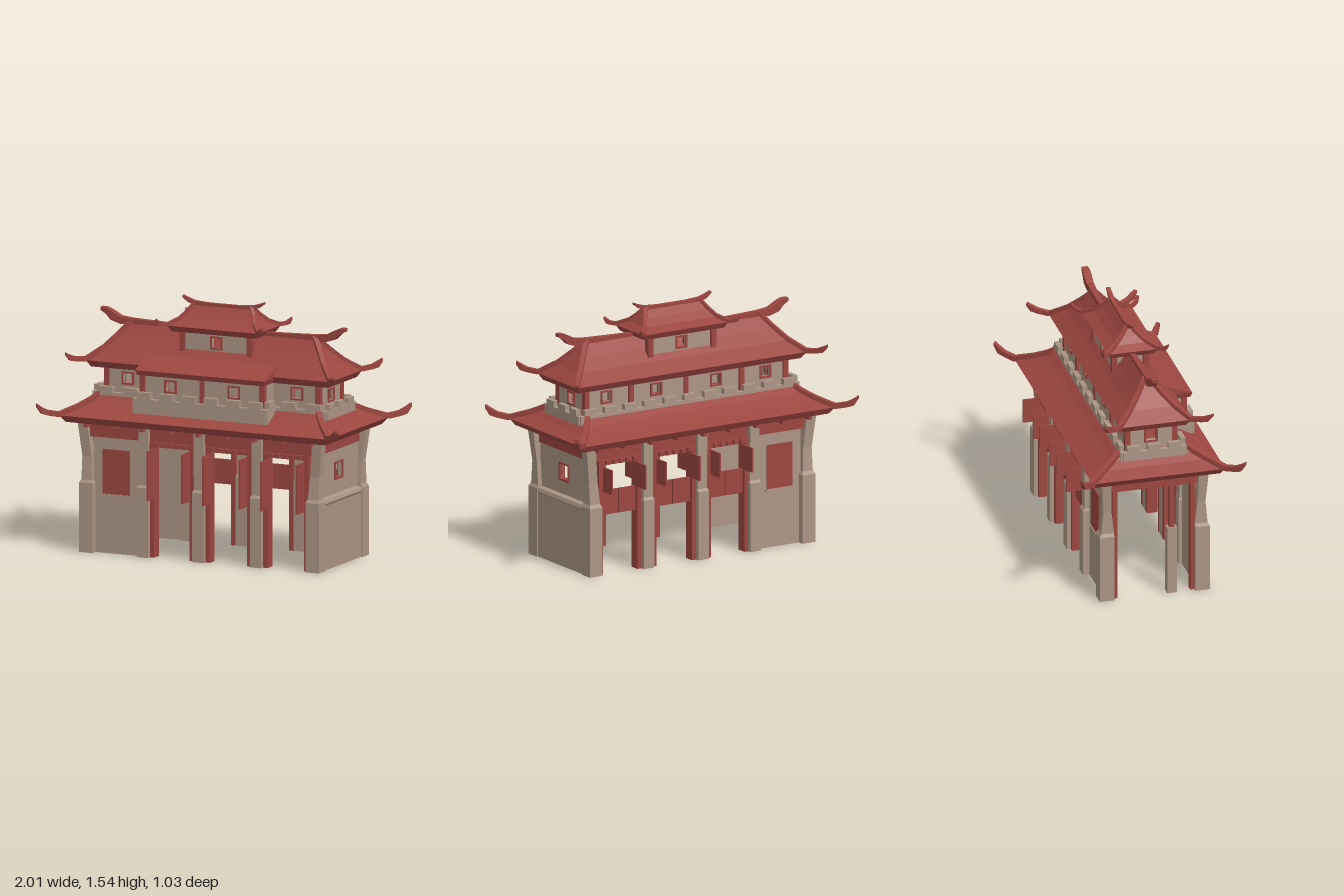
import * as THREE from 'three';

const red = new THREE.MeshStandardMaterial({ color: 0x9c4640 });
red.name = 'red lacquer';
const stone = new THREE.MeshStandardMaterial({ color: 0xab9584 });
stone.name = 'tan stone';

// Solid lofted through rings of four corners, with closed ends
function loft(rings) {
  const p = [];
  const quad = (a, b, c, d) => p.push(...a, ...b, ...c, ...a, ...c, ...d);
  const first = rings[0], last = rings[rings.length - 1];
  quad(first[3], first[2], first[1], first[0]);
  for (let r = 0; r < rings.length - 1; r++) {
    for (let i = 0; i < 4; i++) {
      const j = (i + 1) % 4;
      quad(rings[r][i], rings[r][j], rings[r + 1][j], rings[r + 1][i]);
    }
  }
  quad(...last);
  const g = new THREE.BufferGeometry();
  g.setAttribute('position', new THREE.Float32BufferAttribute(p, 3));
  g.computeVertexNormals();
  return g;
}

// Horizontal rectangle given by its limits
const rect = (x0, x1, z0, z1, y) => [[x0, y, z1], [x1, y, z1], [x1, y, z0], [x0, y, z0]];

// Square-section bar through points [x, y, z, halfWidth, halfHeight]
function bar(points) {
  const a = points[0], b = points[points.length - 1];
  const t = new THREE.Vector3(b[0] - a[0], 0, b[2] - a[2]).normalize();
  const s = new THREE.Vector3(0, 1, 0).cross(t);
  return loft(points.map(([x, y, z, w, h]) =>
    [[-1, -1], [1, -1], [1, 1], [-1, 1]].map(([i, j]) => [x + s.x * w * i, y + h * j, z + s.z * w * i])));
}

// Upright panel in the XY plane with rectangular holes [x0, x1, y0, y1]
function panel(x0, x1, y0, y1, depth, holes = []) {
  const path = (P, a, b, c, d) => {
    const q = new P();
    q.moveTo(a, c); q.lineTo(b, c); q.lineTo(b, d); q.lineTo(a, d); q.closePath();
    return q;
  };
  const shape = path(THREE.Shape, x0, x1, y0, y1);
  holes.forEach(h => shape.holes.push(path(THREE.Path, ...h)));
  return new THREE.ExtrudeGeometry(shape, { depth, bevelEnabled: false }).translate(0, 0, -depth / 2);
}

export function createModel() {
  const model = new THREE.Group();
  const add = (name, geo, mat, parent = model) => {
    const m = new THREE.Mesh(geo, mat);
    m.name = name;
    parent.add(m);
    return m;
  };
  const box = (name, mat, x0, x1, y0, y1, z0, z1) =>
    add(name, new THREE.BoxGeometry(x1 - x0, y1 - y0, z1 - z0)
      .translate((x0 + x1) / 2, (y0 + y1) / 2, (z0 + z1) / 2), mat);

  // Wall with framed square windows, facing z or x
  function windowWall(name, half, y0, y1, at, side, windows, size, wy) {
    const turn = g => side === 'z' ? g.translate(0, 0, at) : g.rotateY(Math.PI / 2).translate(at, 0, 0);
    const hole = (c, s) => [c - s, c + s, wy - s, wy + s];
    add(name, turn(panel(-half, half, y0, y1, 0.025, windows.map(c => hole(c, size)))), stone);
    for (const c of windows) {
      add('windowFrame', turn(panel(...hole(c, size + 0.01), 0.04, [hole(c, size)])), red);
    }
  }

  // Hipped roof from levels [halfX, halfZ, y], with corner ribs and ridge
  function roof(name, levels, tip, rib, ridge) {
    const g = new THREE.Group();
    g.name = name;
    model.add(g);
    add('roofSlopes', loft(levels.map(([x, z, y]) => rect(-x, x, -z, z, y))), red, g);
    const eave = levels[1];
    const mid = (k, i) => eave[i] + (tip[i] - eave[i]) * k;
    for (const sx of [-1, 1]) for (const sz of [-1, 1]) {
      const pts = levels.slice(1).reverse().map(([x, z, y]) => [sx * x, y + 0.008, sz * z, rib, rib]);
      pts.push([sx * mid(0.5, 0), mid(0.3, 2), sz * mid(0.5, 1), rib, rib]);
      pts.push([sx * mid(0.8, 0), mid(0.55, 2), sz * mid(0.8, 1), rib, rib * 1.3]);
      pts.push([sx * tip[0], tip[2], sz * tip[1], rib * 0.8, rib * 0.6]);
      add('hipRib', bar(pts), red, g);
    }
    if (ridge) {
      const half = ridge.map(([x, y, w, h]) => [x, y, 0, w, h]);
      const other = half.map(([x, ...r]) => [-x, ...r]).reverse();
      add('ridge', bar([...other, ...half]), red, g);
    }
  }

  // Stone columns: stout base, slimmer shaft; corner shafts lean outward
  for (const sz of [-1, 1]) {
    const span = (x0, x1, za, zb, y) => rect(x0, x1, Math.min(sz * za, sz * zb), Math.max(sz * za, sz * zb), y);
    for (const x of [-0.375, -0.008, 0.375]) {
      add('column', loft([
        span(x - 0.038, x + 0.038, 0.25, 0.34, 0), span(x - 0.038, x + 0.038, 0.25, 0.34, 0.42),
        span(x - 0.032, x + 0.032, 0.255, 0.328, 0.435), span(x - 0.032, x + 0.032, 0.26, 0.33, 0.79)]), stone);
    }
    for (const sx of [-1, 1]) {
      const corner = (a, b, za, zb, y) => span(Math.min(sx * a, sx * b), Math.max(sx * a, sx * b), za, zb, y);
      add('cornerColumn', loft([
        corner(0.705, 0.795, 0.25, 0.34, 0), corner(0.705, 0.795, 0.25, 0.34, 0.42),
        corner(0.715, 0.785, 0.25, 0.328, 0.44), corner(0.725, 0.785, 0.265, 0.315, 0.58),
        corner(0.745, 0.81, 0.27, 0.33, 0.79)]), stone);
    }
  }

  // Front and back bays
  for (const sz of [-1, 1]) {
    const zbox = (name, mat, x0, x1, y0, y1, a, b) =>
      box(name, mat, x0, x1, y0, y1, Math.min(sz * a, sz * b), Math.max(sz * a, sz * b));
    zbox('solidBayWall', stone, -0.715, -0.41, 0, 0.70, 0.27, 0.30);
    zbox('solidBayShutter', red, -0.655, -0.475, 0.36, 0.63, 0.30, 0.309);
    zbox('solidBaySill', stone, -0.665, -0.465, 0.345, 0.36, 0.30, 0.315);
    zbox('headBeam', red, -0.75, 0.75, 0.70, 0.79, 0.265, 0.305);
    for (const [a, b] of [[-0.34, -0.045], [0.03, 0.337], [0.413, 0.715]]) {
      const m = (a + b) / 2;
      zbox('doorPost', red, a, a + 0.03, 0, 0.70, 0.25, 0.315);
      zbox('doorPost', red, b - 0.03, b, 0, 0.70, 0.25, 0.315);
      zbox('doorLintel', red, a, b, 0.67, 0.70, 0.265, 0.315);
      for (let i = 0; i < 5; i++) {
        const x = a + 0.055 + (b - a - 0.11) * i / 4;
        zbox('lintelPeg', red, x - 0.012, x + 0.012, 0.675, 0.70, 0.315, 0.335);
      }
      // Shutters swung outward; the back keeps its lower leaves closed
      const low = sz > 0 ? 0.36 : 0.51;
      zbox('openShutter', red, a + 0.028, a + 0.038, low, 0.66, 0.295, 0.415);
      zbox('openShutter', red, b - 0.038, b - 0.028, low, 0.66, 0.295, 0.415);
      if (sz < 0) {
        zbox('closedShutter', red, a + 0.03, m - 0.002, 0.36, 0.51, 0.285, 0.295);
        zbox('closedShutter', red, m + 0.002, b - 0.03, 0.36, 0.51, 0.285, 0.295);
      }
    }
    // Rafter ends under the eaves
    for (let i = 0; i < 9; i++) {
      const x = -0.74 + i * 0.185;
      zbox('bracket', red, x - 0.012, x + 0.012, 0.765, 0.795, 0.30, 0.37);
    }
  }

  // Closed left end wall with a rounded plinth, open right end with posts
  add('endPlinth', loft([rect(0.70, 0.785, -0.26, 0.26, 0), rect(0.70, 0.785, -0.26, 0.26, 0.39),
    rect(0.70, 0.793, -0.26, 0.26, 0.405), rect(0.70, 0.785, -0.26, 0.26, 0.425),
    rect(0.70, 0.75, -0.26, 0.26, 0.435)]), stone);
  windowWall('endWall', 0.27, 0.42, 0.71, 0.745, 'x', [0], 0.045, 0.57);
  for (const sx of [-1, 1]) {
    const c = sx * 0.75;
    box('endBeam', red, c - 0.018, c + 0.018, 0.70, 0.79, -0.28, 0.28);
    for (const z of [-0.11, 0.11]) box('bracket', red, c - 0.07, c + 0.07, 0.77, 0.795, z - 0.012, z + 0.012);
  }
  for (const z of [-0.24, 0.24]) box('endPost', red, -0.77, -0.735, 0, 0.70, z - 0.015, z + 0.015);
  box('endColumn', stone, -0.785, -0.735, 0, 0.43, 0.08, 0.14);
  box('endColumnShaft', red, -0.775, -0.745, 0.43, 0.70, 0.095, 0.125);

  // Lower roof
  roof('lowerRoof', [[0.86, 0.385, 0.79], [0.89, 0.41, 0.83], [0.81, 0.315, 0.87], [0.76, 0.25, 0.905],
    [0.73, 0.21, 0.935]], [0.995, 0.505, 0.90], 0.016);

  // Battlements: parapet with merlons along x or z
  function battlement(axis, from, to, at, y0, y1, top) {
    const n = Math.max(1, Math.round((to - from) / 0.145));
    const step = (to - from) / n;
    const place = (name, a, b, lo, hi) => axis === 'x'
      ? box(name, stone, a, b, lo, hi, at - 0.015, at + 0.015)
      : box(name, stone, at - 0.015, at + 0.015, lo, hi, a, b);
    place('parapet', from, to, y0, y1);
    for (let i = 0; i < n; i++) {
      const c = from + step * (i + 0.5);
      place('merlon', c - step * 0.3, c + step * 0.3, y1, top);
    }
  }
  battlement('x', -0.77, 0.77, -0.19, 0.90, 0.955, 0.99);
  battlement('x', -0.44, 0.44, 0.325, 0.87, 0.96, 1.0);
  box('terraceFloor', red, -0.43, 0.43, 0.86, 0.93, 0.18, 0.32);
  for (const sx of [-1, 1]) {
    battlement('x', Math.min(sx * 0.44, sx * 0.77), Math.max(sx * 0.44, sx * 0.77), 0.19, 0.90, 0.955, 0.99);
    battlement('z', -0.19, 0.19, sx * 0.765, 0.90, 0.955, 0.99);
    battlement('z', 0.19, 0.33, sx * 0.43, 0.87, 0.96, 1.0);
  }

  // Middle storey with a projecting front gallery
  windowWall('middleBackWall', 0.70, 0.92, 1.13, -0.14, 'z', [-0.56, -0.21, 0.21, 0.56], 0.03, 1.04);
  windowWall('middleFrontWall', 0.70, 0.92, 1.13, 0.14, 'z', [-0.56, -0.21, 0.21, 0.56], 0.03, 1.04);
  windowWall('galleryWall', 0.40, 0.92, 1.13, 0.28, 'z', [-0.21, 0.21], 0.03, 1.04);
  for (const sx of [-1, 1]) {
    windowWall('middleEndWall', 0.14, 0.92, 1.13, sx * 0.695, 'x', [0], 0.032, 1.02);
    box('gallerySide', stone, sx * 0.39 - 0.0125, sx * 0.39 + 0.0125, 0.92, 1.13, 0.14, 0.28);
    for (const [x, z] of [[0.70, 0.145], [0.70, -0.145], [0.39, -0.15], [0.395, 0.285]]) {
      box('middlePost', red, sx * x - 0.017, sx * x + 0.017, 0.92, 1.13, z - 0.017, z + 0.017);
    }
  }
  for (const z of [-0.15, 0.29]) box('middlePost', red, -0.014, 0.014, 0.92, 1.13, z - 0.012, z + 0.012);
  add('galleryRoof', loft([rect(-0.42, 0.42, 0.10, 0.32, 1.10), rect(-0.43, 0.43, 0.10, 0.33, 1.13),
    rect(-0.43, 0.43, 0.09, 0.15, 1.195)]), red);

  // Middle roof
  roof('middleRoof', [[0.785, 0.195, 1.10], [0.81, 0.22, 1.14], [0.73, 0.135, 1.205], [0.67, 0.07, 1.275],
    [0.61, 0.012, 1.35]], [0.885, 0.335, 1.19], 0.014,
    [[0.30, 1.35, 0.016, 0.015], [0.60, 1.355, 0.018, 0.02], [0.68, 1.36, 0.022, 0.022],
      [0.74, 1.385, 0.024, 0.028], [0.775, 1.41, 0.022, 0.018], [0.81, 1.42, 0.018, 0.01]]);

  // Top storey
  for (const sz of [-1, 1]) windowWall('topWall', 0.22, 1.13, 1.37, sz * 0.09, 'z', [0], 0.03, 1.29);
  for (const sx of [-1, 1]) {
    box('topEndWall', stone, sx * 0.21 - 0.0125, sx * 0.21 + 0.0125, 1.13, 1.37, -0.09, 0.09);
    for (const sz of [-1, 1]) {
      box('topPost', red, sx * 0.222 - 0.018, sx * 0.222 + 0.018, 1.15, 1.37, sz * 0.097 - 0.018, sz * 0.097 + 0.018);
    }
  }
  roof('topRoof', [[0.28, 0.135, 1.345], [0.30, 0.155, 1.38], [0.25, 0.095, 1.41], [0.22, 0.05, 1.45],
    [0.19, 0.012, 1.495]], [0.35, 0.205, 1.42], 0.011,
    [[0.10, 1.498, 0.014, 0.012], [0.19, 1.503, 0.014, 0.013], [0.235, 1.518, 0.014, 0.012],
      [0.27, 1.538, 0.012, 0.006]]);

  return model;
}
